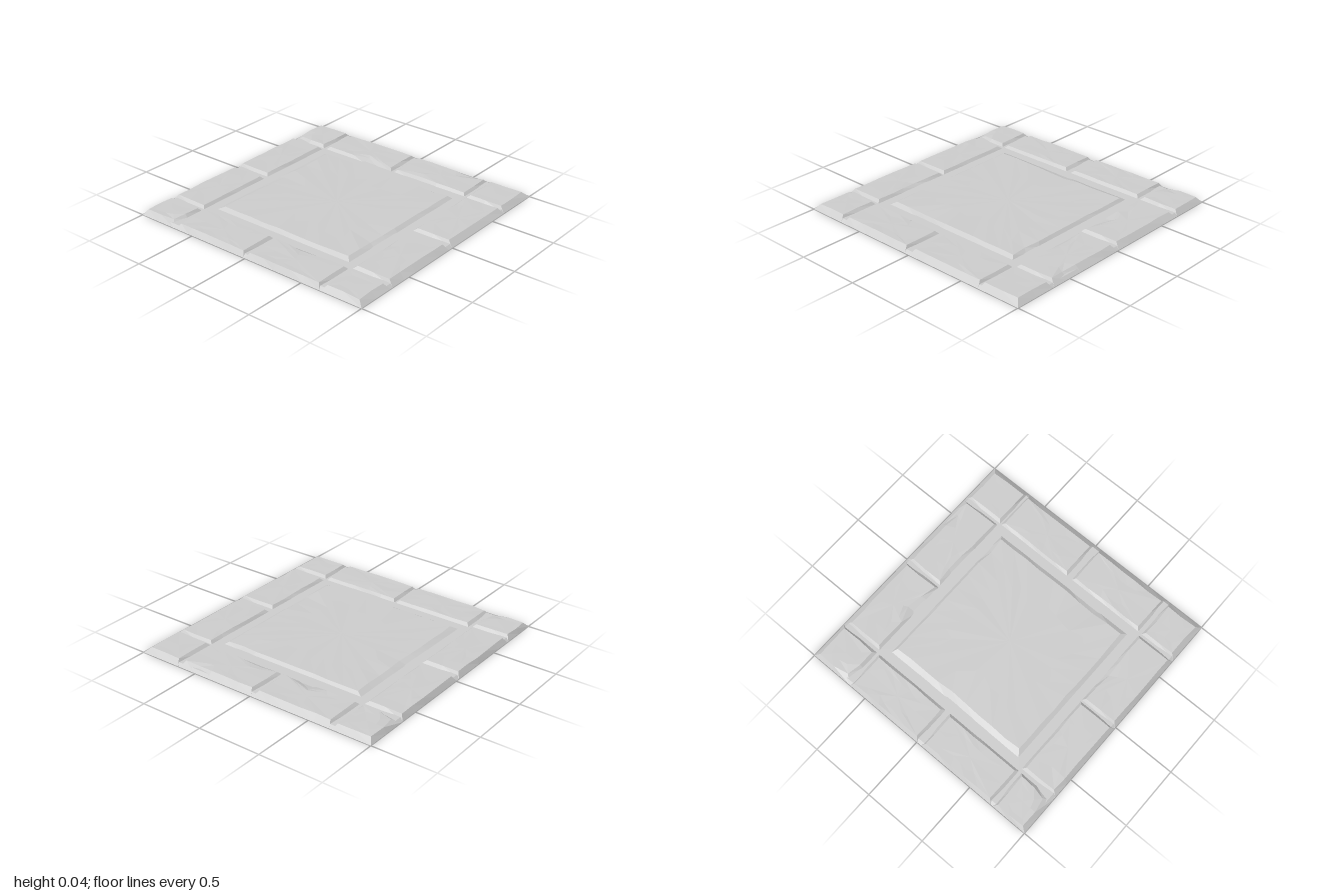
import * as THREE from 'three';

const material = new THREE.MeshStandardMaterial({ color: 0xcccccc, flatShading: true });
const FLOOR = 0.019, TOP = 0.04;

// Seeded random so the wear is always the same
function seeded(seed) {
  let s = seed * 7919 + 17;
  return () => (s = (s * 16807) % 2147483647) / 2147483647;
}

// Chipped places: x, z, radius, depth
const chips = [
  [0.57, 0.4, 0.08, 0.03], [0.68, -0.24, 0.12, 0.07], [0.68, 0.2, 0.1, 0.03],
  [-0.71, 0.3, 0.12, 0.02], [0.0, -0.58, 0.15, 0.02], [0.69, -0.97, 0.06, 0.03],
  [-0.97, -0.71, 0.08, 0.02], [0.97, 0.5, 0.1, 0.02], [-0.3, 0.58, 0.15, 0.015],
];

// Worn stone: rings of points from the foot over the lip to the middle of the top
function stone(name, [x0, x1, z0, z1], bevels, seed) {
  const rand = seeded(seed);
  rand(); rand();
  const [bl, br, bb, bf] = bevels;
  const cx = (x0 + x1) / 2, cz = (z0 + z1) / 2;
  const nx = Math.max(2, Math.round((x1 - x0) / 0.13));
  const nz = Math.max(2, Math.round((z1 - z0) / 0.13));

  // Unit outline, clockwise from above
  const outline = [];
  for (let i = 0; i < nx; i++) outline.push([i / nx, 0]);
  for (let i = 0; i < nz; i++) outline.push([1, i / nz]);
  for (let i = 0; i < nx; i++) outline.push([1 - i / nx, 1]);
  for (let i = 0; i < nz; i++) outline.push([0, 1 - i / nz]);

  const foot = [], lip = [], inner = [];
  for (const [u, v] of outline) {
    const fx = THREE.MathUtils.lerp(x0 - bl, x1 + br, u);
    const fz = THREE.MathUtils.lerp(z0 - bb, z1 + bf, v);
    const edge = Math.max(Math.abs(fx), Math.abs(fz)) > 0.99;
    foot.push([fx, edge ? 0 : FLOOR - 0.005, fz]);

    let x = THREE.MathUtils.lerp(x0, x1, u), z = THREE.MathUtils.lerp(z0, z1, v);
    let y = TOP - 0.004 * rand() * rand();
    const wear = 0.008 * rand();
    let push = wear;
    for (const [px, pz, r, d] of chips) {
      const k = Math.max(0, 1 - Math.hypot(x - px, z - pz) / r);
      push += d * k;
      y -= 0.01 * k;
    }
    x += (u === 0 ? push : u === 1 ? -push : 0);
    z += (v === 0 ? push : v === 1 ? -push : 0);
    lip.push([x, y, z]);

    const t = 0.25 + 0.25 * rand();
    inner.push([x + (cx - x) * t, TOP - 0.0025 * rand(), z + (cz - z) * t]);
  }

  const pos = [];
  const tri = (a, b, c) => pos.push(...a, ...b, ...c);
  const n = outline.length;
  const centre = [cx, TOP - 0.001, cz];
  for (let i = 0; i < n; i++) {
    const j = (i + 1) % n;
    for (const [o, p] of [[foot, lip], [lip, inner]]) {
      tri(o[i], p[j], o[j]);
      tri(o[i], p[i], p[j]);
    }
    tri(inner[i], centre, inner[j]);
  }
  const geometry = new THREE.BufferGeometry();
  geometry.setAttribute('position', new THREE.Float32BufferAttribute(pos, 3));
  geometry.computeVertexNormals();
  const mesh = new THREE.Mesh(geometry, material);
  mesh.name = name;
  return mesh;
}

export function createModel() {
  const group = new THREE.Group();
  group.name = 'stoneFloorTile';

  // Mortar bed with sloping sides and a closed underside
  const bed = new THREE.CylinderGeometry(0.975 * Math.SQRT2, Math.SQRT2, FLOOR, 4);
  bed.rotateY(Math.PI / 4);
  bed.translate(0, FLOOR / 2, 0);
  const bedMesh = new THREE.Mesh(bed, material);
  bedMesh.name = 'mortarBed';
  group.add(bedMesh);

  // Large middle slab, its left and back edges more worn
  group.add(stone('centreSlab', [-0.595, 0.565, -0.58, 0.57], [0.035, 0.025, 0.05, 0.035], 5));

  // Border stones: x0, x1, z0, z1 of the top faces
  const border = {
    backRow: [[-0.97, -0.73, -0.98, -0.71], [-0.67, -0.06, -0.98, -0.71],
      [0.015, 0.625, -0.98, -0.71], [0.68, 0.97, -0.98, -0.71]],
    frontRow: [[-0.97, -0.72, 0.685, 0.96], [-0.655, -0.06, 0.685, 0.96],
      [0.02, 0.63, 0.685, 0.96], [0.675, 0.965, 0.685, 0.96]],
    leftColumn: [[-0.975, -0.71, -0.65, -0.035], [-0.975, -0.71, 0.015, 0.63]],
    rightColumn: [[0.68, 0.96, -0.65, -0.04], [0.685, 0.96, 0.015, 0.63]],
  };
  let seed = 11;
  for (const [row, rects] of Object.entries(border)) {
    const rowGroup = new THREE.Group();
    rowGroup.name = row;
    rects.forEach((r, i) => {
      // Outer edges run out to the tile edge, inner ones drop into the joint
      const bevels = r.map((c) => (Math.abs(c) > 0.9 ? 1 - Math.abs(c) : 0.022));
      rowGroup.add(stone(`${row}Stone${i + 1}`, r, bevels, seed++));
    });
    group.add(rowGroup);
  }
  return group;
}
